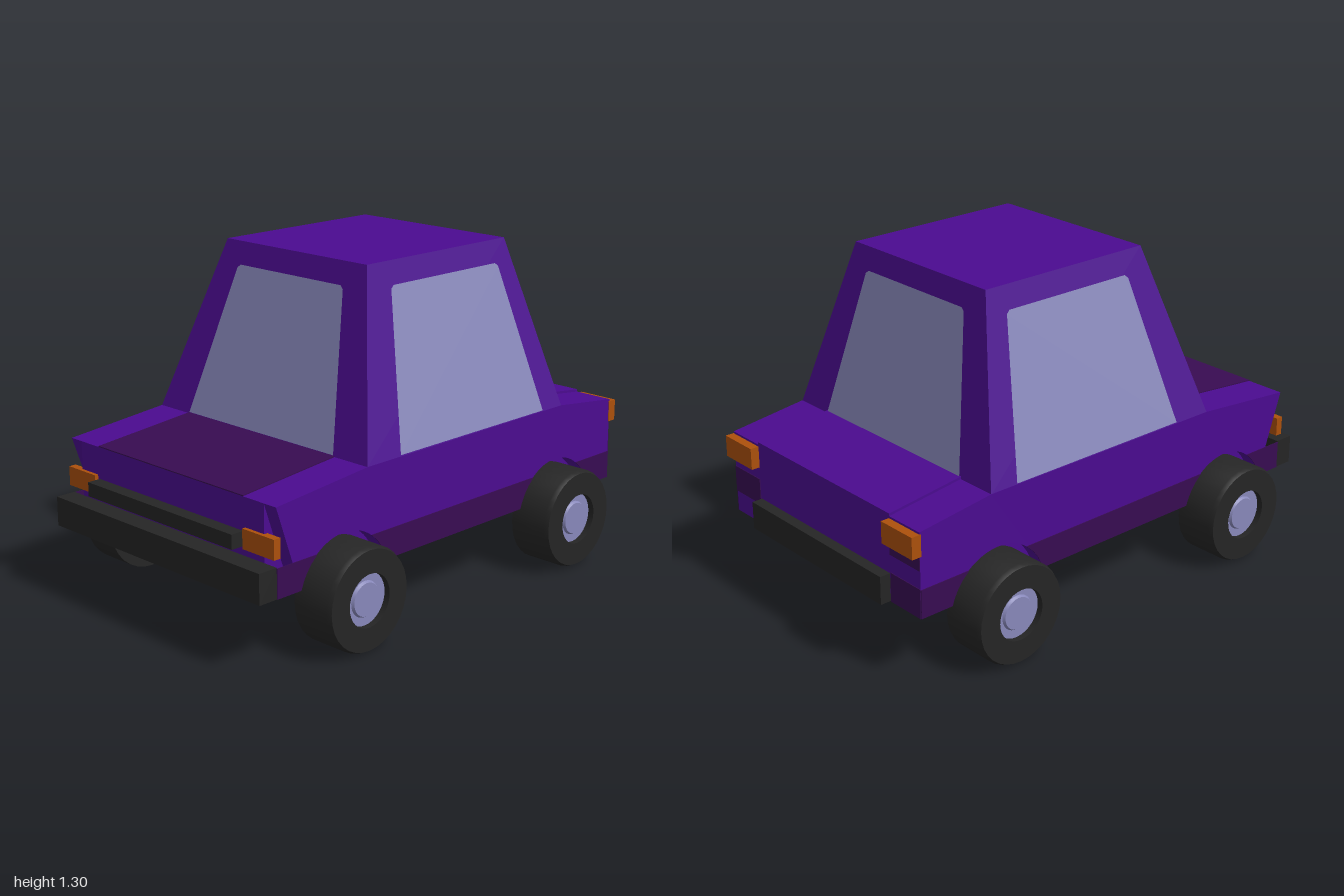
import * as THREE from 'three';
import { toCreasedNormals } from 'three/addons/utils/BufferGeometryUtils.js';

const material = (name, color, extra = {}) => {
  const m = new THREE.MeshStandardMaterial({ color, ...extra });
  m.name = name;
  return m;
};

export function createModel() {
  const purple = material('purple paint', 0x4b0b90);
  const plum = material('plum paint', 0x380c52);
  const glass = material('pale glass', 0x8888ba, { side: THREE.DoubleSide });
  const black = material('black rubber', 0x252525);
  const orange = material('orange lamp', 0xac500c);

  const model = new THREE.Group();
  model.name = 'car';
  model.rotation.y = 0.016;

  const add = (name, geometry, mat, parent = model) => {
    const mesh = new THREE.Mesh(geometry, mat);
    mesh.name = name;
    parent.add(mesh);
    return mesh;
  };
  // Box given by its limits on each axis
  const box = (name, mat, [x0, x1], [y0, y1], [z0, z1]) => {
    const g = new THREE.BoxGeometry(x1 - x0, y1 - y0, z1 - z0);
    g.translate((x0 + x1) / 2, (y0 + y1) / 2, (z0 + z1) / 2);
    return add(name, g, mat);
  };
  const extrude = (name, mat, shape, z0, z1) => {
    const g = new THREE.ExtrudeGeometry(shape, { depth: z1 - z0, bevelEnabled: false, curveSegments: 16 });
    g.translate(0, 0, z0);
    return add(name, g, mat);
  };

  const HALF = 0.565, INNER = 0.505, BOTTOM = 0.26;
  const axles = [-0.585, 0.6];
  const archR = 0.222, axleY = 0.196;

  // Lower body outline, with or without wheel arches
  const bodyShape = (arches) => {
    const s = new THREE.Shape();
    s.moveTo(-0.91, BOTTOM);
    if (arches) {
      const a = Math.asin((BOTTOM - axleY) / archR);
      for (const x of axles) s.absarc(x, axleY, archR, Math.PI - a, a, true);
    }
    s.lineTo(0.95, BOTTOM);
    s.lineTo(0.95, 0.593);
    s.lineTo(0.63, 0.632);
    s.lineTo(-0.47, 0.63);
    s.lineTo(-0.91, 0.59);
    s.closePath();
    return s;
  };
  extrude('bodyCore', purple, bodyShape(false), -INNER, INNER);
  extrude('leftSidePanel', purple, bodyShape(true), INNER, HALF);
  extrude('rightSidePanel', purple, bodyShape(true), -HALF, -INNER);

  // Dark sill strips between the wheel arches
  const archX = (x, side, y) => x + side * Math.sqrt(archR ** 2 - (y - axleY) ** 2);
  const sillEdges = [
    [() => -0.91, (y) => archX(axles[0], -1, y)],
    [(y) => archX(axles[0], 1, y), (y) => archX(axles[1], -1, y)],
    [(y) => archX(axles[1], 1, y), () => 0.95],
  ];
  for (const [from, to] of sillEdges) {
    const ys = [0, 1, 2, 3, 4].map((i) => BOTTOM + (i * 0.112) / 4);
    const points = [
      ...ys.map((y) => new THREE.Vector2(to(y), y)),
      ...ys.reverse().map((y) => new THREE.Vector2(from(y), y)),
    ];
    const shape = new THREE.Shape(points);
    extrude('leftSill', plum, shape, HALF, HALF + 0.003);
    extrude('rightSill', plum, shape, -HALF - 0.003, -HALF);
  }

  // Sloping centre panels on both ends
  const slopePanel = (name, mat, x0, y0, x1, y1, thick) => {
    const s = new THREE.Shape();
    s.moveTo(x0, y0);
    s.lineTo(x1, y1);
    s.lineTo(x1, y1 + thick);
    s.lineTo(x0, y0 + thick);
    s.closePath();
    extrude(name, mat, s, -0.4, 0.4);
  };
  slopePanel('plumLid', plum, -0.91, 0.59, -0.47, 0.63, 0.004);
  slopePanel('centreLid', purple, 0.62, 0.633, 0.95, 0.593, 0.01);

  // Cabin: a box tapered towards the roof
  const Y0 = 0.628, Y1 = 1.297;
  const lerp = (a, b, y) => a + ((b - a) * (y - Y0)) / (Y1 - Y0);
  const xMin = (y) => lerp(-0.47, -0.277, y);
  const xMax = (y) => lerp(0.63, 0.483, y);
  const zMax = (y) => lerp(HALF, 0.372, y);
  let cabin = new THREE.BoxGeometry(1, 1, 1).toNonIndexed();
  const cp = cabin.attributes.position;
  for (let i = 0; i < cp.count; i++) {
    const y = cp.getY(i) > 0 ? Y1 : Y0;
    cp.setXYZ(i, cp.getX(i) > 0 ? xMax(y) : xMin(y), y, Math.sign(cp.getZ(i)) * zMax(y));
  }
  cabin.computeVertexNormals();
  add('cabin', cabin, purple);

  // Windows: trapezoids with clipped top corners, laid on the cabin faces
  const pane = (name, b0, b1, t0, t1, place) => {
    const top = 1.212, c = 0.012;
    const g = new THREE.ShapeGeometry(new THREE.Shape([
      [b0, 0.636], [b1, 0.636], [t1 + 0.003, top - c], [t1 - c, top], [t0 + c, top], [t0 - 0.003, top - c],
    ].map(([u, y]) => new THREE.Vector2(u, y))));
    const p = g.attributes.position;
    for (let i = 0; i < p.count; i++) p.setXYZ(i, ...place(p.getX(i), p.getY(i)));
    g.computeVertexNormals();
    add(name, g, glass);
  };
  const gap = 0.004;
  pane('leftWindow', -0.3, 0.51, -0.18, 0.41, (u, y) => [u, y, zMax(y) + gap]);
  pane('rightWindow', -0.3, 0.51, -0.18, 0.41, (u, y) => [u, y, -zMax(y) - gap]);
  pane('endWindowA', -0.395, 0.395, -0.28, 0.28, (u, y) => [xMax(y) + gap, y, u]);
  pane('endWindowB', -0.395, 0.395, -0.28, 0.28, (u, y) => [xMin(y) - gap, y, u]);

  // Bumpers and the strip between the small lamps
  box('wideBumper', black, [-0.991, -0.91], [0.26, 0.375], [-HALF, HALF]);
  box('grilleStrip', black, [-0.965, -0.91], [0.41, 0.465], [-0.4, 0.4]);
  box('shortBumper', black, [0.95, 0.994], [0.26, 0.37], [-0.395, 0.395]);

  // Lamps on each corner
  for (const s of [1, -1]) {
    const span = (a, b) => (s > 0 ? [a, b] : [-b, -a]);
    box('largeLamp', orange, [0.945, 0.985], [0.5, 0.585], span(0.398, HALF + 0.002));
    box('smallLamp', orange, [-0.925, -0.895], [0.405, 0.48], span(0.41, HALF + 0.004));
  }
  // Plum patches below the large lamps
  box('cornerPatch', plum, [0.95, 0.953], [0.345, 0.45], [0.4, HALF]);
  box('cornerPatch', plum, [0.95, 0.953], [0.445, 0.5], [-HALF, -0.4]);
  box('cornerPatch', plum, [0.95, 0.953], [0.26, 0.375], [-HALF, -0.4]);

  // Wheels: tyre with a recessed hub
  const lathe = (pts) => {
    const g = new THREE.LatheGeometry(pts.map(([r, y]) => new THREE.Vector2(r, y)), 32);
    g.rotateX(Math.PI / 2);
    return toCreasedNormals(g, 0.5);
  };
  const tyre = lathe([[0, 0.515], [0.196, 0.515], [0.196, 0.672], [0.188, 0.69], [0.1, 0.69], [0.1, 0.65]]);
  const hub = lathe([[0.1, 0.665], [0.068, 0.665], [0.062, 0.675], [0, 0.675]]);
  for (const x of axles) {
    for (const s of [1, -1]) {
      const wheel = new THREE.Group();
      wheel.name = s > 0 ? 'leftWheel' : 'rightWheel';
      wheel.position.set(x, axleY, 0);
      wheel.rotation.y = s > 0 ? 0 : Math.PI;
      add('tyre', tyre, black, wheel);
      add('hub', hub, glass, wheel);
      model.add(wheel);
    }
  }

  const root = new THREE.Group();
  root.name = 'carModel';
  root.add(model);
  return root;
}
